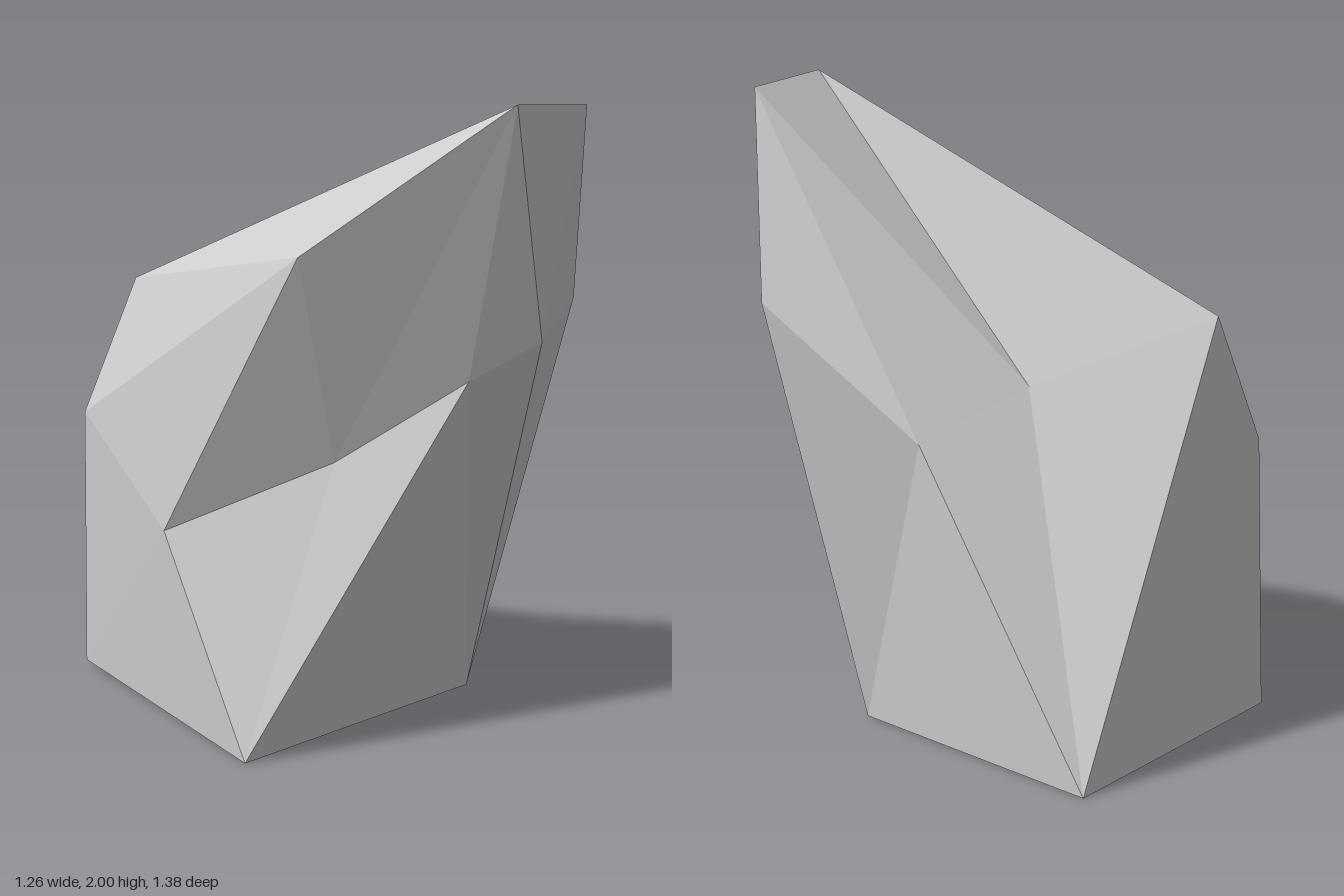
import * as THREE from 'three';

// Corner points of the faceted rock
const P = {
  // square foot
  E: [0.42, 0, 0.19], F: [-0.46, 0, 0.36], G: [-0.63, 0.02, -0.52], H: [0.24, 0, -0.69],
  // leaning peak and its front shoulder
  A: [0.24, 2, 0.69], B: [0.51, 1.97, 0.63], C: [0.63, 1.34, 0.42], D: [0.41, 1.27, 0.59],
  // back and side shoulder
  I: [-0.43, 1.32, -0.485], J: [-0.62, 0.9, -0.48], K: [-0.27, 1.55, 0.35], L: [-0.54, 0.63, -0.04],
  // hollow under the front overhang
  N: [0.22, 1.15, 0.495], O: [-0.11, 0.88, 0.27],
  // groove down the back
  Q: [0.37, 0.95, -0.045], R: [0.03, 1.1, -0.145],
};

// Facets, each three corners counter-clockwise from outside
const facets = [
  'EFG EGH',                     // underside
  'NFE DNE CDE FNO OLF',         // lower front
  'BDC ADB DAN NAO OAK OKL',     // overhanging front
  'FLG GLJ JLK JKI IKA',         // -x side
  'IAR ABR RBQ RQH RHI',         // sloping back and groove
  'QBC QCE QEH',                 // +x side
  'IHJ JHG',                     // lower back
].join(' ').split(' ');

export function createModel() {
  const positions = facets.flatMap((f) => [...f].flatMap((c) => P[c]));
  const geometry = new THREE.BufferGeometry();
  geometry.setAttribute('position', new THREE.Float32BufferAttribute(positions, 3));
  geometry.computeVertexNormals();

  const rock = new THREE.Mesh(
    geometry,
    new THREE.MeshStandardMaterial({ color: 0xcccccc, flatShading: true }),
  );
  rock.name = 'rock';

  const group = new THREE.Group();
  group.name = 'leaningRock';
  group.add(rock);
  return group;
}
